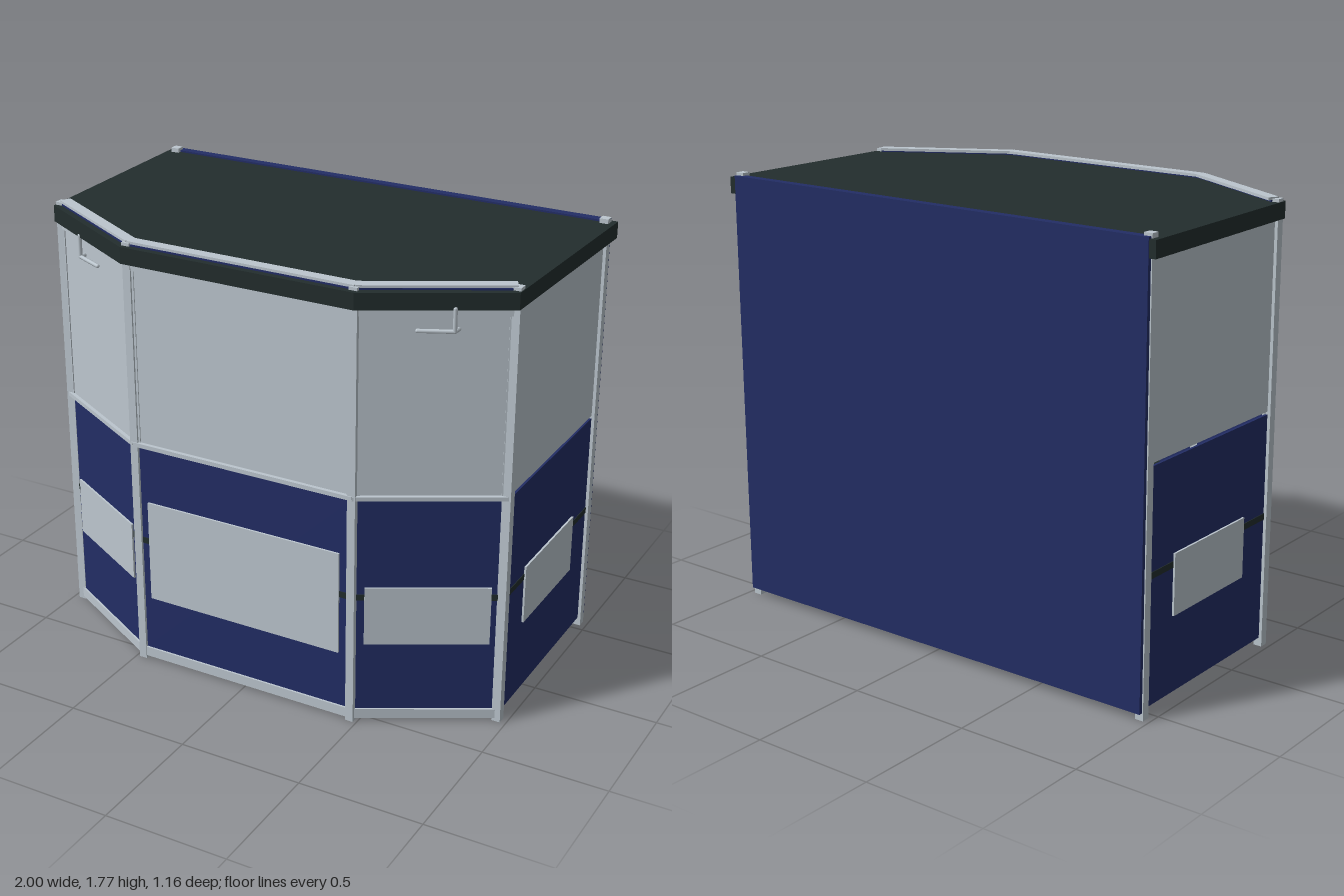
import * as THREE from 'three';

const mat = (name, color) => Object.assign(new THREE.MeshStandardMaterial({ color }), { name });

export function createModel() {
  const root = new THREE.Group();
  root.name = 'kiosk';
  const grey = mat('light grey', 0xbcc6ce);
  const blue = mat('navy blue', 0x222d65);
  const dark = mat('dark slate', 0x222d2d);

  const add = (parent, name, geometry, material) => {
    const mesh = new THREE.Mesh(geometry, material);
    mesh.name = name;
    parent.add(mesh);
    return mesh;
  };
  // Box between two heights, centred at x, z
  const box = (parent, name, w, y0, y1, d, material, x = 0, z = 0) =>
    add(parent, name, new THREE.BoxGeometry(w, y1 - y0, d).translate(x, (y0 + y1) / 2, z), material);
  // Horizontal slab from half of a mirrored plan outline [x, z]
  const slab = (name, half, y0, y1, material) => {
    const mirrored = half.slice().reverse().map(([x, z]) => [-x, z]);
    const shape = new THREE.Shape([...half, ...mirrored].map(([x, z]) => new THREE.Vector2(x, z)));
    const geo = new THREE.ExtrudeGeometry(shape, { depth: y1 - y0, bevelEnabled: false });
    return add(root, name, geo.rotateX(Math.PI / 2).translate(0, y1, 0), material);
  };

  // Plan corners of the frame
  const X = 0.96, XF = 0.47, ZB = -0.55, ZM = 0.272, ZF = 0.543;

  // Posts at all six corners
  for (const s of [-1, 1]) {
    box(root, 'rearPost', 0.035, 0, 1.768, 0.035, grey, s * X, ZB + 0.003);
    box(root, 'sidePost', 0.035, 0, 1.762, 0.035, grey, s * X, ZM);
    box(root, 'frontPost', 0.033, 0, 1.762, 0.033, grey, s * XF, ZF);
  }

  // Wall bay between two plan corners; its local +z faces outwards
  const bay = (name, a, b, plate, framed) => {
    const g = new THREE.Group();
    const dx = b[0] - a[0], dz = b[1] - a[1], len = Math.hypot(dx, dz);
    g.name = name;
    g.position.set((a[0] + b[0]) / 2, 0, (a[1] + b[1]) / 2);
    g.rotation.y = Math.atan2(-dz, dx);
    root.add(g);
    box(g, 'lowerPanel', len, 0.035, 0.943, 0.01, blue);
    box(g, 'upperPanel', len, 0.955, 1.69, 0.01, grey);
    box(g, 'whitePlate', plate[0], plate[1], plate[2], 0.008, grey, 0, 0.0105);
    if (!framed) return;
    box(g, 'bottomRail', len, 0.012, 0.052, 0.026, grey);
    box(g, 'middleRail', len + 0.01, 0.943, 0.96, 0.04, grey);
    box(g, 'headerRail', len, 1.655, 1.69, 0.026, grey);
    for (const s of [-1, 1]) box(g, 'panelFrame', 0.012, 0.96, 1.655, 0.018, grey, s * (len / 2 - 0.019));
    box(g, 'roofStrip', len, 1.74, 1.757, 0.036, blue, 0, -0.008);
    box(g, 'roofRail', len, 1.756, 1.767, 0.044, grey, 0, -0.014);
  };
  const small = [0.47, 0.34, 0.58];
  bay('frontBay', [-XF, ZF], [XF, ZF], [0.84, 0.287, 0.71], true);
  bay('rightAngledBay', [-X, ZM], [-XF, ZF], small, true);
  bay('leftAngledBay', [XF, ZF], [X, ZM], small, true);
  bay('leftBay', [X, ZM], [X, ZB], small, false);
  bay('rightBay', [-X, ZB], [-X, ZM], small, false);

  // Rear wall, inner shelf whose edge shows as a stripe, and roof
  box(root, 'rearWall', 1.945, 0.03, 1.757, 0.035, blue, 0, -0.5625);
  slab('innerShelf', [[0.968, -0.548], [0.968, 0.277], [0.473, 0.551]], 0.525, 0.55, dark);
  slab('roof', [[1, -0.577], [0.98, 0.3], [0.482, 0.577]], 1.685, 1.75, dark);

  // Bent hooks hanging below the roof on both angled bays
  const rod = (parent, name, points) => {
    const path = new THREE.CurvePath();
    const v = points.map((p) => new THREE.Vector3(...p));
    for (let i = 1; i < v.length; i++) path.add(new THREE.LineCurve3(v[i - 1], v[i]));
    add(parent, name, new THREE.TubeGeometry(path, 24, 0.008, 8), grey);
    for (const p of [v[0], v[v.length - 1]])
      add(parent, name + 'End', new THREE.SphereGeometry(0.008, 8, 6).translate(p.x, p.y, p.z), grey);
  };
  for (const s of [-1, 1]) {
    const hook = new THREE.Group();
    hook.name = s > 0 ? 'leftHook' : 'rightHook';
    root.add(hook);
    rod(hook, 'hookStem', [[s * 0.787, 1.69, 0.405], [s * 0.787, 1.606, 0.405]]);
    rod(hook, 'hookArm', [[s * 0.787, 1.606, 0.405], [s * 0.67, 1.606, 0.405 + 0.055]]);
    rod(hook, 'hookTip', [[s * 0.787, 1.606, 0.405], [s * 0.787, 1.604, 0.355], [s * 0.787, 1.65, 0.352]]);
  }
  return root;
}
